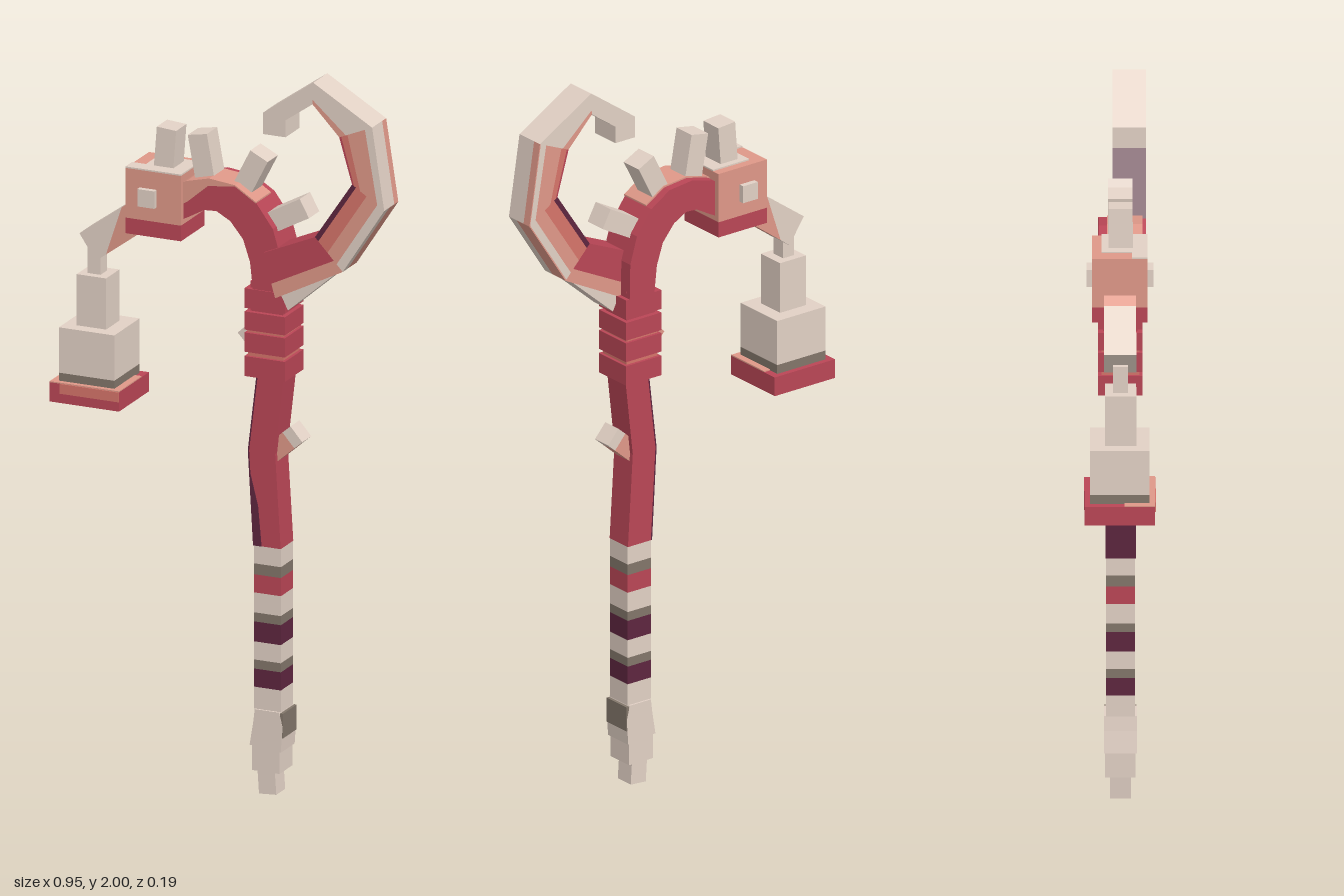
import * as THREE from 'three';

const mat = (name, color) => {
  const m = new THREE.MeshStandardMaterial({ color });
  m.name = name;
  return m;
};

export function createModel() {
  const group = new THREE.Group();
  const bone = mat('bone', 0xe2d1c5);
  const taupe = mat('taupe', 0x82766a);
  const crimson = mat('crimson', 0xba4656);
  const coral = mat('coral', 0xd6746a);
  const salmon = mat('salmon', 0xdf9888);
  const plum = mat('plum', 0x5e263f);

  const add = (name, geo, m) => {
    const mesh = new THREE.Mesh(geo, m);
    mesh.name = name;
    group.add(mesh);
    return mesh;
  };
  // Upright box given by its x, y and z ranges
  const box = (name, m, x0, x1, y0, y1, z0, z1) => {
    const mesh = add(name, new THREE.BoxGeometry(x1 - x0, y1 - y0, z1 - z0), m);
    mesh.position.set((x0 + x1) / 2, (y0 + y1) / 2, (z0 + z1) / 2);
    return mesh;
  };
  // Slab with a side outline, running from z0 to z1
  const slab = (name, m, pts, z0, z1) => {
    const shape = new THREE.Shape(pts.map(p => new THREE.Vector2(p[0], p[1])));
    const geo = new THREE.ExtrudeGeometry(shape, { depth: z1 - z0, bevelEnabled: false });
    geo.translate(0, 0, z0);
    return add(name, geo, m);
  };
  // Square bar from point a to point b
  const bar = (name, m, a, b, w, d) => {
    const dx = b[0] - a[0], dy = b[1] - a[1];
    const mesh = add(name, new THREE.BoxGeometry(w, Math.hypot(dx, dy), d), m);
    mesh.position.set((a[0] + b[0]) / 2, (a[1] + b[1]) / 2, 0);
    mesh.rotation.z = -Math.atan2(dx, dy);
    return mesh;
  };
  const mix = (a, b, t) => [a[0] + (b[0] - a[0]) * t, a[1] + (b[1] - a[1]) * t];

  // Stepped foot
  bar('footTip', bone, [0.12, 0.005], [0.115, 0.08], 0.05, 0.055);
  box('footMiddle', bone, 0.08, 0.16, 0.07, 0.14, -0.04, 0.04);
  slab('footTop', bone, [[0.075, 0.14], [0.165, 0.13], [0.17, 0.2], [0.16, 0.24], [0.09, 0.24], [0.085, 0.2]], -0.043, 0.043);
  box('footPatch', taupe, 0.163, 0.171, 0.17, 0.238, -0.043, 0.042);

  // Banded grip
  [[0.24, 0.30, bone], [0.30, 0.35, plum], [0.35, 0.375, taupe], [0.375, 0.425, bone],
    [0.425, 0.48, plum], [0.48, 0.505, taupe], [0.505, 0.56, bone], [0.56, 0.61, crimson],
    [0.61, 0.64, taupe], [0.64, 0.69, bone]].forEach(([y0, y1, m]) =>
    box('gripBand', m, 0.086, 0.163, y0, y1, -0.038, 0.038));

  // Bent shaft with a dark outer side
  const shaftSide = [[0.083, 0.69], [0.068, 0.95], [0.094, 1.17]];
  const shaftInset = shaftSide.map(([x, y]) => [x + 0.004, y]).reverse();
  slab('shaft', crimson, [[0.163, 0.69], [0.147, 0.95], [0.172, 1.17], ...shaftInset], -0.039, 0.039);
  slab('shaftDarkSide', plum, [...shaftSide, ...shaftInset], -0.039, 0.039);
  slab('shaftSliver', plum, [[0.084, 0.69], [0.108, 0.69], [0.098, 0.8], [0.075, 0.89]], 0.039, 0.041);

  // Stacked collar and the core inside it
  box('collarCore', crimson, 0.078, 0.172, 1.30, 1.42, -0.045, 0.045);
  box('collarCoreBright', coral, 0.074, 0.176, 1.20, 1.30, -0.05, 0.05);
  [[1.16, 1.215], [1.227, 1.28], [1.288, 1.338], [1.348, 1.402]].forEach(([y0, y1]) =>
    box('collarRing', crimson, 0.067, 0.184, y0, y1, -0.058, 0.058));

  // Thorns: a diamond on the collar and a peg on the shaft
  [[bone, 0.014], [salmon, -0.014]].forEach(([m, z]) => {
    const thorn = box('collarThorn', m, 0.045, 0.1, 1.237, 1.292, z - 0.014, z + 0.014);
    thorn.rotation.z = 0.75;
  });
  bar('shaftThornBase', salmon, [0.13, 0.945], [0.18, 0.989], 0.052, 0.054);
  bar('shaftThornTip', bone, [0.18, 0.989], [0.203, 1.009], 0.052, 0.056);

  // Neck arch
  const outer = [[0.172, 1.40], [0.17, 1.5], [0.148, 1.575], [0.10, 1.64], [0.04, 1.678],
    [-0.035, 1.686], [-0.10, 1.67], [-0.2, 1.62]];
  const inner = [[0.09, 1.40], [0.082, 1.475], [0.062, 1.535], [0.025, 1.58], [-0.015, 1.602],
    [-0.05, 1.6], [-0.095, 1.575], [-0.2, 1.52]];
  slab('neckArch', crimson, [...outer, ...inner.slice().reverse()], -0.058, 0.055);
  const crest = outer.slice(3);
  const crestInner = [0, 0, 0.2, 0.55, 0.7].map((t, i) => mix(outer[i + 3], inner[i + 3], t));
  slab('neckCrest', salmon, [...crest.map(p => [p[0], p[1] + 0.004]), ...crestInner.reverse()], -0.035, 0.058);

  // Head block with side studs
  box('headLower', crimson, -0.27, -0.11, 1.51, 1.553, -0.074, 0.071);
  box('headUpper', salmon, -0.27, -0.11, 1.553, 1.69, -0.074, 0.071);
  box('headTop', bone, -0.23, -0.11, 1.69, 1.694, -0.05, 0.071);
  box('headTopCorner', bone, -0.27, -0.23, 1.69, 1.694, 0.03, 0.071);
  box('headStuds', bone, -0.229, -0.18, 1.594, 1.642, -0.089, 0.086);

  // Snout
  const s = [[-0.417, 1.48], [-0.37, 1.41], [-0.235, 1.51], [-0.265, 1.59]];
  const top = mix(s[0], s[3], 0.8), low = mix(s[1], s[2], 0.22);
  slab('snoutTip', bone, [s[0], s[1], low, top], -0.043, 0.041);
  slab('snoutBase', salmon, [top, low, s[2], s[3]], -0.043, 0.041);

  // Hanging lantern
  box('lanternStem', bone, -0.403, -0.366, 1.36, 1.44, -0.02, 0.02);
  box('lanternCap', bone, -0.425, -0.34, 1.225, 1.366, -0.041, 0.041);
  box('lanternBody', bone, -0.46, -0.30, 1.1, 1.225, -0.08, 0.076);
  box('lanternBand', taupe, -0.46, -0.30, 1.075, 1.1, -0.08, 0.076);
  box('lanternBase', crimson, -0.48, -0.28, 1.022, 1.075, -0.095, 0.09);
  box('lanternRimFront', salmon, -0.48, -0.28, 1.075, 1.078, 0.076, 0.09);
  box('lanternRimInner', salmon, -0.30, -0.28, 1.075, 1.078, -0.05, 0.076);
  box('lanternRimOuter', salmon, -0.48, -0.46, 1.075, 1.078, 0.01, 0.076);
  box('lanternBasePlate', coral, -0.45, -0.28, 1.048, 1.075, 0.09, 0.092);

  // Spines along the neck
  [[[-0.18, 1.67], [-0.17, 1.8]], [[-0.056, 1.66], [-0.081, 1.797]],
    [[0.035, 1.64], [0.097, 1.762]], [[0.11, 1.572], [0.228, 1.636]]].forEach(([a, b]) =>
    bar('spine', bone, a, b, 0.056, 0.064));

  // Curled horn, in layers from the inner edge (0) to the outer edge (1)
  const z0 = -0.02, z1 = 0.067;
  const hi = [[0.125, 1.51], [0.275, 1.575], [0.382, 1.735], [0.345, 1.86], [0.268, 1.94], [0.19, 1.885]];
  const ho = [[0.16, 1.39], [0.355, 1.49], [0.475, 1.675], [0.44, 1.9], [0.27, 2.0], [0.125, 1.897]];
  const layer = (name, m, i, t0, t1, za = z0, zb = z1) => slab(name, m, [
    mix(hi[i], ho[i], t0), mix(hi[i + 1], ho[i + 1], t0),
    mix(hi[i + 1], ho[i + 1], t1), mix(hi[i], ho[i], t1)], za, zb);
  layer('hornRoot', crimson, 0, 0, 0.68);
  layer('hornRootEdge', salmon, 0, 0.68, 1);
  slab('hornRootSpur', bone, [[0.195, 1.36], [0.335, 1.482], [0.29, 1.48], [0.17, 1.41]], z0 + 0.004, z1 - 0.004);
  layer('hornInnerLow', plum, 1, 0, 0.12);
  layer('hornInnerHigh', crimson, 2, 0, 0.06);
  layer('hornCoreLow', coral, 1, 0.12, 0.45);
  layer('hornSideLow', salmon, 1, 0.45, 0.78);
  layer('hornCoreHigh', coral, 2, 0.06, 0.25);
  layer('hornSideHigh', salmon, 2, 0.25, 0.78);
  layer('hornBackLow', bone, 1, 0.78, 0.97);
  layer('hornBackLowFront', bone, 1, 0.97, 1, 0.035, z1);
  layer('hornBackLowRear', salmon, 1, 0.97, 1, z0, 0.035);
  layer('hornBackHigh', bone, 2, 0.78, 0.97);
  layer('hornBackHighFront', bone, 2, 0.97, 1, 0.005, z1);
  layer('hornBackHighRear', salmon, 2, 0.97, 1, z0, 0.005);
  layer('hornBendInner', salmon, 3, 0, 0.2);
  layer('hornBend', bone, 3, 0.2, 1);
  layer('hornCurl', bone, 4, 0, 1);
  slab('hornTip', bone, [hi[5], ho[5], [0.125, 1.838], [0.19, 1.838]], z0, z1);

  return group;
}
